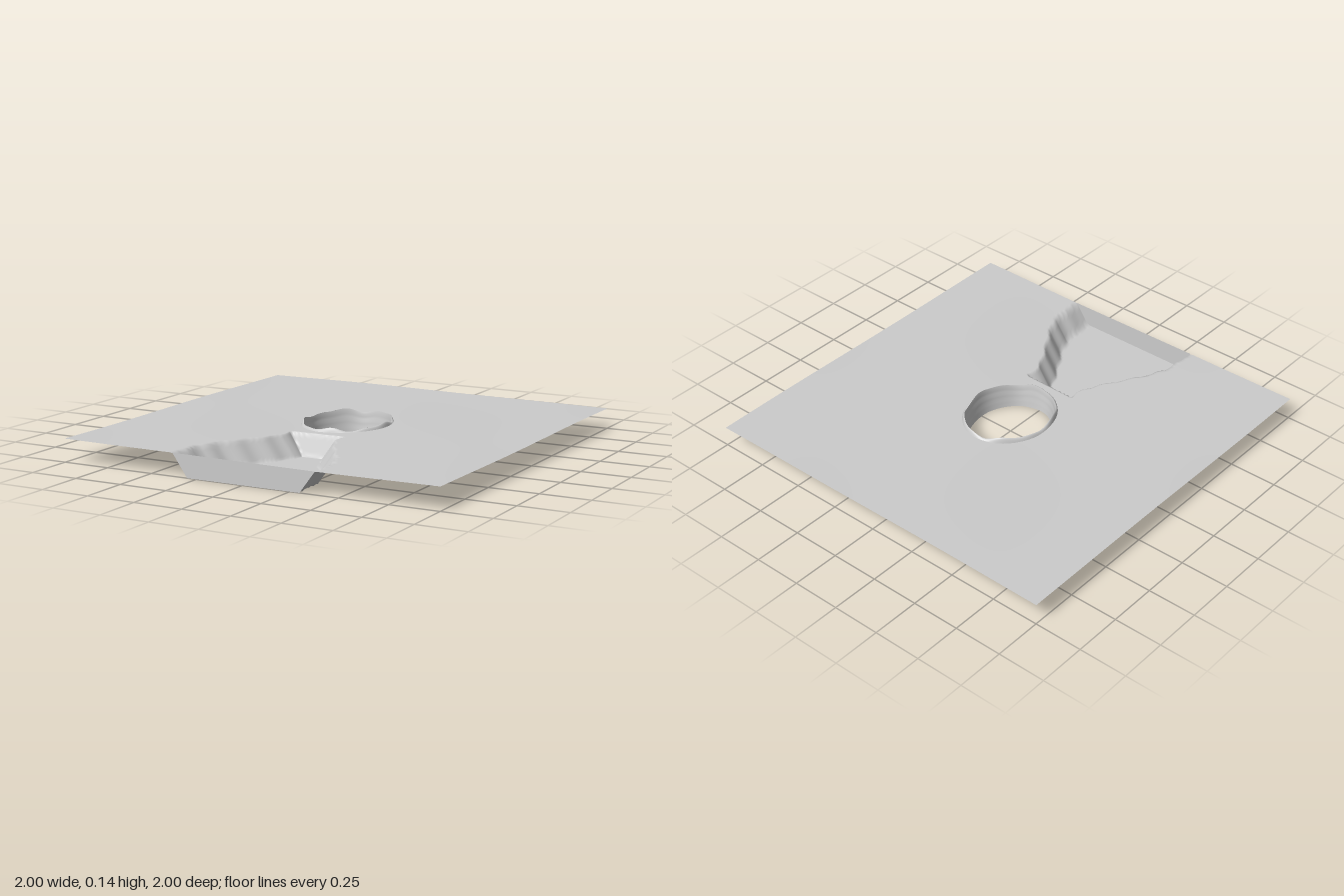
import * as THREE from 'three';

const SEG = 400; // multiple of 8, so the square corners are hit exactly
const { sin, cos, abs, max, min } = Math;

// Closed rings of points joined into a smooth surface
function ringSurface(name, rings, point) {
  const pos = [], index = [];
  for (let i = 0; i <= rings; i++)
    for (let j = 0; j < SEG; j++) pos.push(...point(i / rings, (j / SEG) * Math.PI * 2));
  for (let i = 0; i < rings; i++)
    for (let j = 0; j < SEG; j++) {
      const k = (j + 1) % SEG;
      const a = i * SEG + j, b = i * SEG + k, c = a + SEG, d = b + SEG;
      index.push(a, b, c, b, d, c);
    }
  const geo = new THREE.BufferGeometry();
  geo.setAttribute('position', new THREE.Float32BufferAttribute(pos, 3));
  geo.setIndex(index);
  geo.computeVertexNormals();
  return makeMesh(name, geo);
}

function makeMesh(name, geo) {
  const mesh = new THREE.Mesh(geo, new THREE.MeshStandardMaterial({ color: 0xcccccc, side: THREE.DoubleSide }));
  mesh.name = name;
  return mesh;
}

// Gentle undulation of the ground
const ground = (x, z) =>
  0.111 - 0.004 * x + 0.003 * sin(3.1 * x + 1.3 * z) * cos(2.3 * z) + 0.0015 * sin(5 * x - 4 * z);

// Half width of the channel floor as [z, half width]
const FLOOR = [[0.34, 0.065], [0.4, 0.07], [0.5, 0.12], [0.6, 0.18], [0.7, 0.24], [0.8, 0.285], [1, 0.3]];
function floorHalfWidth(z) {
  for (let i = 1; i < FLOOR.length; i++) {
    const [z0, w0] = FLOOR[i - 1], [z1, w1] = FLOOR[i];
    if (z <= z1) return w0 + (w1 - w0) * max(0, (z - z0) / (z1 - z0));
  }
  return 0.3;
}

// Ground height with the sunken channel: 0 on its floor, sloping up its banks
function height(x, z) {
  const ragged = 0.006 * sin(47 * z + 3 * Math.sign(x)) * min(1, max(0, (1 - z) * 5));
  const bank = (abs(x) - floorHalfWidth(z) + ragged) / 0.08;
  const head = (0.347 - z) / 0.042;
  return ground(x, z) * min(1, max(0, bank, head));
}

// Oval outline of the well
const oval = (a, grow) => [
  (0.192 + grow) * cos(a) + 0.002 * sin(5 * a),
  (0.23 + grow) * sin(a) - 0.004 + 0.002 * cos(7 * a),
];
// Uneven crest of the well
const crest = (a) =>
  0.129 + 0.007 * sin(5 * a + 0.6) + 0.004 * sin(9 * a + 2) - 0.006 * max(0, sin(a));

export function createModel() {
  const group = new THREE.Group();

  // Ground sheet from the well out to the square border
  group.add(ringSurface('ground', 110, (t, a) => {
    const [x0, z0] = oval(a, 0.03);
    const reach = 1 / max(abs(cos(a)), abs(sin(a)));
    const x = x0 + (cos(a) * reach - x0) * t;
    const z = z0 + (sin(a) * reach - z0) * t;
    return [x, height(x, z), z];
  }));

  // Raised lip between ground and well
  group.add(ringSurface('wellLip', 5, (t, a) => {
    const [x, z] = oval(a, 0.018 + 0.012 * t);
    const base = ground(x, z);
    return [x, base + (crest(a) - base) * (1 - t * t), z];
  }));

  // Tapered well wall, open below
  group.add(ringSurface('wellWall', 10, (t, a) => {
    const [x, z] = oval(a, 0.018 * t + 0.0012 * sin(t * 19) * t);
    return [x, crest(a) * t, z];
  }));

  // Flat wall closing the front of the channel
  const wall = new THREE.Shape([[-0.38, ground(-0.38, 1)], [-0.3, 0], [0.3, 0], [0.38, ground(0.38, 1)]]
    .map(([x, y]) => new THREE.Vector2(x, y)));
  const front = makeMesh('channelFrontWall', new THREE.ShapeGeometry(wall));
  front.position.z = 1;
  group.add(front);

  return group;
}
